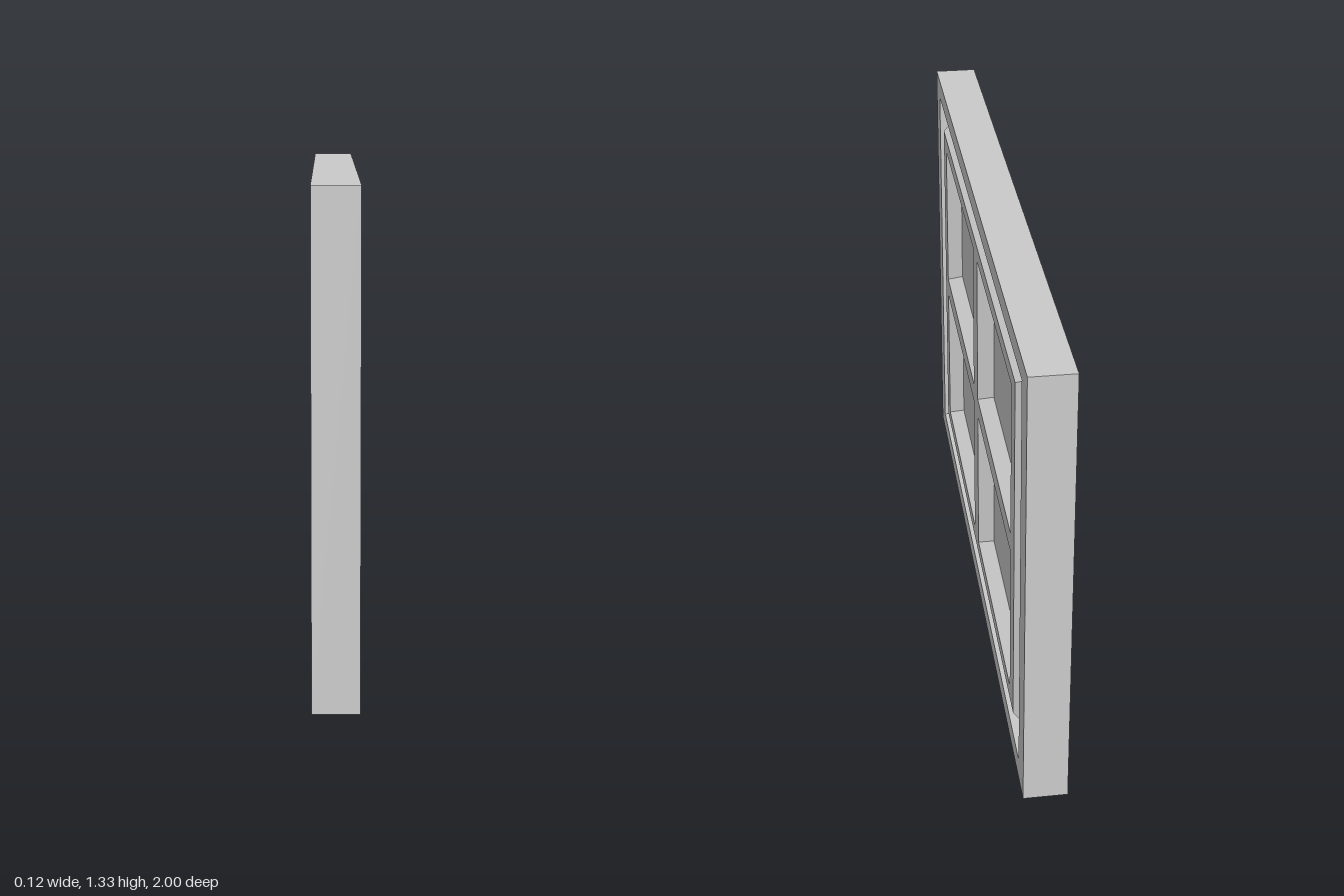
import * as THREE from 'three';

const HALF = 0.0615;    // half thickness of the frame
const RABBET = 0.028;   // depth level of the groove floor around the sash
const PANE = 0.018;     // depth level of the panes

// Rectangle corners, counter-clockwise: left, bottom, right, top
const corners = ([l, b, r, t]) => [[l, b], [r, b], [r, t], [l, t]];

function trace(path, rect) {
  corners(rect).forEach(([x, y], i) => (i ? path.lineTo(x, y) : path.moveTo(x, y)));
  path.closePath();
  return path;
}

function shapeWithHoles(outer, holes) {
  const shape = trace(new THREE.Shape(), outer);
  holes.forEach((h) => shape.holes.push(trace(new THREE.Path(), h)));
  return shape;
}

// Sloped band joining an outer rectangle to an inner one
function bevelBand(outer, zOuter, inner, zInner) {
  const a = corners(outer), b = corners(inner), pos = [];
  for (let i = 0; i < 4; i++) {
    const j = (i + 1) % 4;
    const A = [...a[i], zOuter], B = [...a[j], zOuter];
    const C = [...b[j], zInner], D = [...b[i], zInner];
    pos.push(...A, ...B, ...C, ...A, ...C, ...D);
  }
  const g = new THREE.BufferGeometry();
  g.setAttribute('position', new THREE.Float32BufferAttribute(pos, 3));
  g.computeVertexNormals();
  return g;
}

export function createModel() {
  const grey = new THREE.MeshStandardMaterial({ color: 0xcccccc });
  grey.name = 'light grey';
  const model = new THREE.Group();
  model.name = 'windowPanel';

  const add = (parent, name, geometry, z = 0) => {
    const mesh = new THREE.Mesh(geometry, grey);
    mesh.name = name;
    mesh.position.z = z;
    parent.add(mesh);
  };

  const outer = [-1, 0, 1, 1.325];
  const opening = [-0.913, 0.062, 0.913, 1.267];
  const sashBase = [-0.836, 0.11, 0.836, 1.22];
  const sashTop = [-0.804, 0.135, 0.804, 1.196];

  // Two by two panes
  const panes = [];
  for (const [b, t] of [[0.177, 0.635], [0.695, 1.152]]) {
    panes.push([-0.737, b, -0.046, t], [0.046, b, 0.737, t]);
  }

  // Outer frame, running through the full thickness
  const frame = new THREE.Group();
  frame.name = 'frame';
  frame.rotation.y = Math.PI / 2;
  add(frame, 'outerFrame', new THREE.ExtrudeGeometry(
    shapeWithHoles(outer, [opening]), { depth: HALF * 2, bevelEnabled: false }), -HALF);
  model.add(frame);

  // Identical sash on both faces
  for (const side of [1, -1]) {
    const face = new THREE.Group();
    face.name = side > 0 ? 'leftFace' : 'rightFace';
    face.rotation.y = side * Math.PI / 2;
    add(face, 'grooveFloor', new THREE.ShapeGeometry(shapeWithHoles(opening, [sashBase])), RABBET);
    add(face, 'sashBevel', bevelBand(sashBase, RABBET, sashTop, HALF));
    add(face, 'sashFace', new THREE.ShapeGeometry(shapeWithHoles(sashTop, panes)), HALF);
    for (const p of panes) {
      const inner = [p[0] + 0.035, p[1] + 0.025, p[2] - 0.035, p[3] - 0.025];
      add(face, 'paneBevel', bevelBand(p, HALF, inner, PANE));
      add(face, 'pane', new THREE.ShapeGeometry(shapeWithHoles(inner, [])), PANE);
    }
    model.add(face);
  }
  return model;
}
